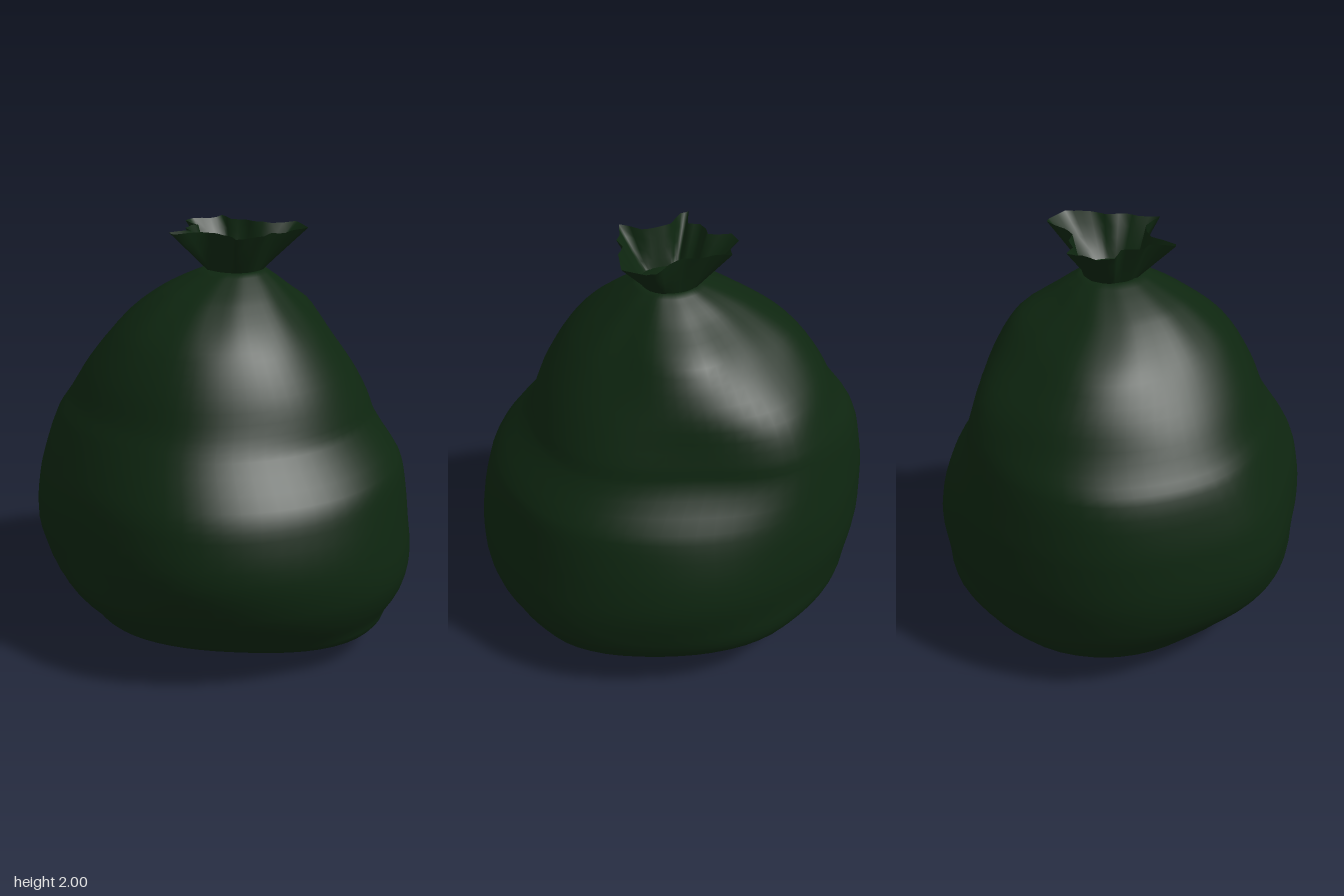
import * as THREE from 'three';

// Body sections: height, right edge, left edge, front edge, back edge
const SECTIONS = [
  [0.005, -0.24, 0.06, 0.1, -0.22], [0.03, -0.4, 0.24, 0.34, -0.3],
  [0.07, -0.55, 0.64, 0.45, -0.42], [0.13, -0.63, 0.78, 0.6, -0.62],
  [0.2, -0.69, 0.83, 0.68, -0.79], [0.3, -0.79, 0.895, 0.78, -0.87],
  [0.42, -0.87, 0.915, 0.86, -0.89], [0.6, -0.92, 0.895, 0.92, -0.915],
  [0.8, -0.91, 0.875, 0.89, -0.9], [0.92, -0.885, 0.845, 0.84, -0.88],
  [1.1, -0.825, 0.72, 0.71, -0.85], [1.2, -0.76, 0.68, 0.65, -0.825],
  [1.35, -0.67, 0.6, 0.585, -0.75], [1.5, -0.55, 0.49, 0.5, -0.6],
  [1.6, -0.45, 0.4, 0.41, -0.49], [1.7, -0.32, 0.3, 0.28, -0.35],
  [1.76, -0.21, 0.24, 0.18, -0.27], [1.81, -0.1, 0.18, 0.09, -0.19],
];

// Fullness on the diagonals: height, front left, front right, back right, back left
const FULLNESS = [
  [0, 1.05, 1, 1.15, 0.95], [0.1, 1.09, 1.04, 1.15, 0.94], [0.3, 1.03, 1.02, 1.05, 0.95],
  [0.55, 1.01, 0.91, 1.03, 1.01], [0.9, 0.99, 0.915, 1.05, 0.94], [1.08, 0.98, 0.94, 1.04, 0.87],
  [1.3, 1.01, 0.98, 1, 0.89], [1.54, 1, 1, 1.1, 1.09],
  [1.64, 1, 1, 1.08, 1.17], [1.81, 1, 1, 1, 1],
];

// Gathered rim of the collar as x, z pairs
const RIM = [
  [0.38, -0.09], [0.33, -0.03], [0.28, 0.03], [0.22, 0.06], [0.19, 0.13], [0.14, 0.16],
  [0.07, 0.235], [0.03, 0.13], [-0.03, 0.09], [-0.1, 0.07], [-0.22, 0.12], [-0.25, 0.1],
  [-0.16, 0.02], [-0.19, -0.03], [-0.17, -0.08], [-0.14, -0.12], [-0.21, -0.2],
  [-0.18, -0.27], [-0.1, -0.29], [-0.05, -0.345], [0, -0.28], [0.07, -0.26],
  [0.12, -0.21], [0.2, -0.2], [0.31, -0.23], [0.34, -0.2],
];
const NECK = new THREE.Vector3(0.04, 1.8, -0.055);

// Smooth lookup of a table row by its first column
function sample(table, y) {
  let i = 0;
  while (i < table.length - 2 && table[i + 1][0] < y) i++;
  const t = THREE.MathUtils.clamp((y - table[i][0]) / (table[i + 1][0] - table[i][0]), 0, 1);
  const slope = (k, c) => {
    const a = table[Math.max(k - 1, 0)], b = table[Math.min(k + 1, table.length - 1)];
    return (b[c] - a[c]) / (b[0] - a[0]);
  };
  const h = table[i + 1][0] - table[i][0];
  return table[i].map((p, c) => {
    const q = table[i + 1][c], t2 = t * t, t3 = t2 * t;
    return (2 * t3 - 3 * t2 + 1) * p + (t3 - 2 * t2 + t) * h * slope(i, c)
      + (3 * t2 - 2 * t3) * q + (t3 - t2) * h * slope(i + 1, c);
  });
}

// Skin closed rings of points, listed from bottom to top
function loft(rings) {
  const n = rings[0].length, pos = [], index = [];
  rings.forEach((ring) => ring.forEach((p) => pos.push(p.x, p.y, p.z)));
  for (let r = 0; r < rings.length - 1; r++) {
    for (let k = 0; k < n; k++) {
      const a = r * n + k, b = r * n + (k + 1) % n;
      index.push(a, a + n, b, b, a + n, b + n);
    }
  }
  const g = new THREE.BufferGeometry();
  g.setAttribute('position', new THREE.Float32BufferAttribute(pos, 3));
  g.setIndex(index);
  g.computeVertexNormals();
  return g;
}

// One lumpy horizontal section of the sack
function bodyRing(y, segments) {
  const [, x0, x1, zf, zb] = sample(SECTIONS, y);
  const full = sample(FULLNESS, y).slice(1);
  const gather = THREE.MathUtils.smoothstep(y, 1.45, 1.7) * 0.01;
  const lump = THREE.MathUtils.smoothstep(y, 0.1, 0.4) * 0.005;
  const ring = [];
  for (let k = 0; k < segments; k++) {
    const a = k / segments * Math.PI * 2;
    const diagonal = Math.sin(2 * a) ** 2;
    const quarter = Math.min(3, Math.floor(k / segments * 4));
    const swell = 1 + (full[quarter] - 1) * diagonal
      + lump * Math.sin(5 * a + 4 * y) * Math.sin(3 * a - 7 * y) + gather * Math.sin(11 * a);
    ring.push(new THREE.Vector3(
      (x0 + x1) / 2 + (x1 - x0) / 2 * Math.cos(a) * swell, y,
      (zf + zb) / 2 + (zf - zb) / 2 * Math.sin(a) * swell));
  }
  return ring;
}

function bodyGeometry() {
  const segments = 64, rings = [];
  // Each table interval is split so rounded ends stay smooth
  for (let i = 0; i < SECTIONS.length - 1; i++) {
    for (let s = 0; s < 3; s++) {
      rings.push(bodyRing(THREE.MathUtils.lerp(SECTIONS[i][0], SECTIONS[i + 1][0], s / 3), segments));
    }
  }
  rings.push(bodyRing(1.81, segments));
  // Close the underside and the tied mouth
  rings.unshift(rings[0].map(() => new THREE.Vector3(-0.09, 0, -0.06)));
  rings.push(rings[0].map(() => new THREE.Vector3(NECK.x, 1.82, NECK.z)));
  return loft(rings);
}

// Pleated collar flaring from the round neck to the ragged rim
function collarGeometry() {
  const rim = [];
  RIM.forEach(([x, z], i) => {
    const [nx, nz] = RIM[(i + 1) % RIM.length];
    for (const t of [0, 0.5]) {
      rim.push(new THREE.Vector3(x + (nx - x) * t, 1.997 + 0.003 * Math.sin(i * 2.4), z + (nz - z) * t));
    }
  });
  const neck = rim.map((p) => {
    const a = Math.atan2(p.z - NECK.z, p.x - NECK.x);
    return new THREE.Vector3(NECK.x + 0.13 * Math.cos(a), 1.8, NECK.z + 0.13 * Math.sin(a));
  });
  return loft([0, 0.25, 0.5, 0.75, 1].map((t) => neck.map((p, k) => p.clone().lerp(rim[k], t))));
}

export function createModel() {
  const group = new THREE.Group();
  group.name = 'tiedSack';
  const plastic = new THREE.MeshStandardMaterial({ color: 0x0e2610, side: THREE.DoubleSide });
  plastic.name = 'dark green plastic';
  const add = (name, geometry) => {
    const mesh = new THREE.Mesh(geometry, plastic);
    mesh.name = name;
    group.add(mesh);
  };
  add('sackBody', bodyGeometry());
  add('gatheredCollar', collarGeometry());
  return group;
}
